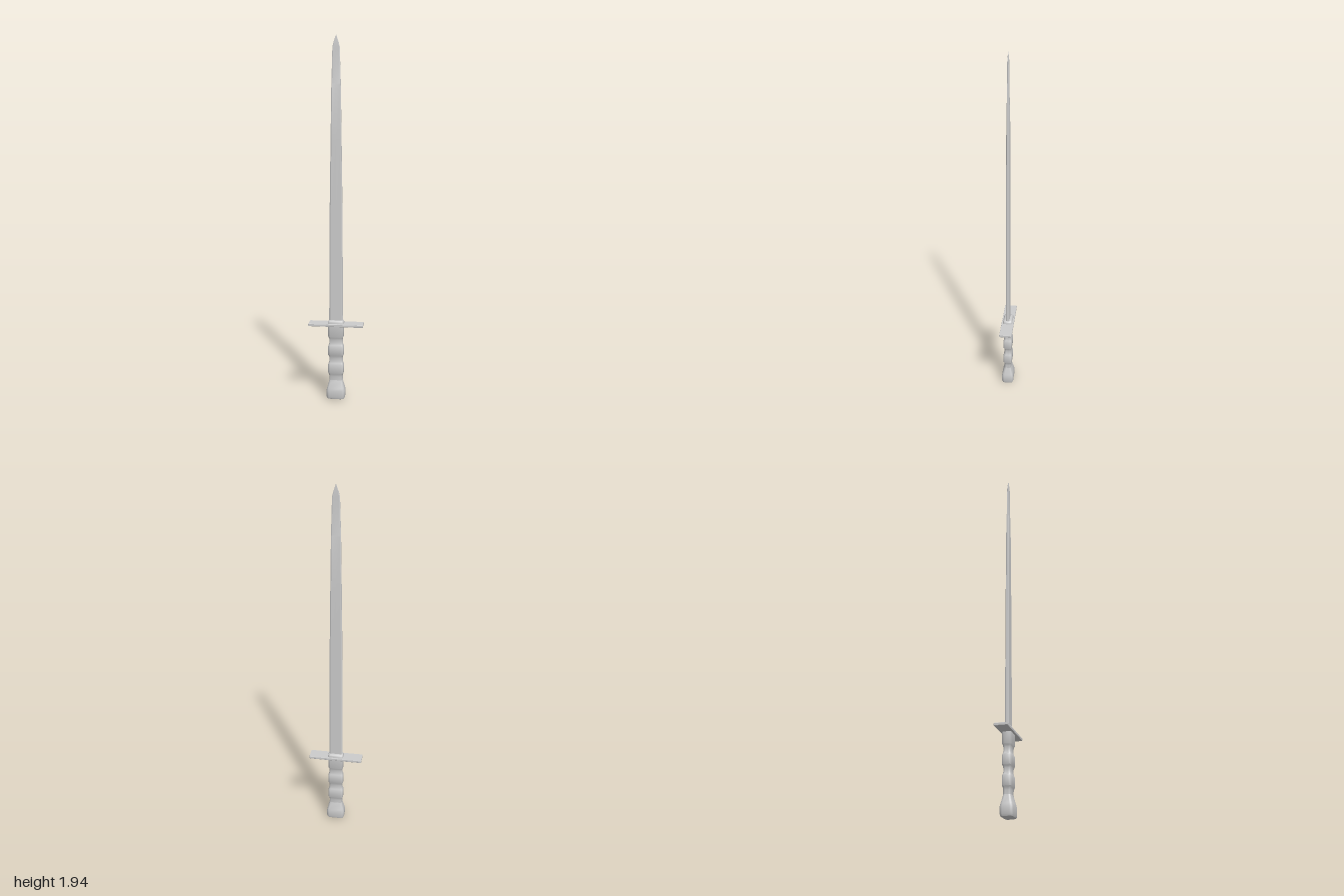
import * as THREE from 'three';
import { toCreasedNormals } from 'three/addons/utils/BufferGeometryUtils.js';

const material = new THREE.MeshStandardMaterial({ color: 0xcccccc });

// Rounded rectangle outline, from +x towards +z
function roundedRing(w, d, r, steps = 4) {
  const ring = [];
  [[1, 1], [-1, 1], [-1, -1], [1, -1]].forEach(([sx, sz], q) => {
    for (let i = 0; i <= steps; i++) {
      const a = (q + i / steps) * Math.PI / 2;
      ring.push([sx * (w - r) + r * Math.cos(a), sz * (d - r) + r * Math.sin(a)]);
    }
  });
  return ring;
}

// Blade outline: flat faces with chamfered edges
function bladeRing(w, d) {
  const f = w * 0.82, e = d * 0.55;
  return [[w, e], [f, d], [0, d], [-f, d], [-w, e], [-w, -e], [-f, -d], [0, -d], [f, -d], [w, -e]];
}

// Skin a stack of { y, ring } sections and cap both ends
function loft(name, sections, crease) {
  const n = sections[0].ring.length, pos = [], idx = [];
  for (const { y, ring } of sections) for (const [x, z] of ring) pos.push(x, y, z);
  for (let s = 0; s < sections.length - 1; s++) {
    for (let i = 0; i < n; i++) {
      const j = (i + 1) % n, a = s * n, b = a + n;
      idx.push(a + i, b + i, a + j, b + i, b + j, a + j);
    }
  }
  const c = sections.length * n, top = c - n;
  pos.push(0, sections[0].y, 0, 0, sections.at(-1).y, 0);
  for (let i = 0; i < n; i++) {
    const j = (i + 1) % n;
    idx.push(c, i, j, c + 1, top + j, top + i);
  }
  const geo = new THREE.BufferGeometry();
  geo.setAttribute('position', new THREE.Float32BufferAttribute(pos, 3));
  geo.setIndex(idx);
  const mesh = new THREE.Mesh(toCreasedNormals(geo, crease), material);
  mesh.name = name;
  return mesh;
}

const rounded = (rows) => rows.map(([y, w, d, r]) => ({ y, ring: roundedRing(w, d, r) }));

export function createModel() {
  const group = new THREE.Group();
  group.name = 'sword';

  // Flared pommel
  group.add(loft('pommel', rounded([
    [0.008, 0.038, 0.022, 0.012], [0.012, 0.046, 0.030, 0.014], [0.022, 0.050, 0.033, 0.015],
    [0.058, 0.050, 0.033, 0.015], [0.072, 0.047, 0.030, 0.014], [0.102, 0.039, 0.022, 0.012],
    [0.115, 0.036, 0.019, 0.011],
  ]), 0.7));

  // Grip with alternating waists and swellings
  const grip = [[0.11, 0.036, 0.019, 0.011], [0.135, 0.036, 0.019, 0.011]];
  for (const y of [0.155, 0.257]) {
    grip.push(
      [y - 0.006, 0.038, 0.021, 0.011], [y, 0.042, 0.024, 0.012], [y + 0.048, 0.042, 0.024, 0.012],
      [y + 0.056, 0.039, 0.021, 0.011], [y + 0.066, 0.036, 0.019, 0.011], [y + 0.086, 0.036, 0.019, 0.011],
    );
  }
  grip.push([0.353, 0.038, 0.021, 0.011], [0.36, 0.042, 0.024, 0.012], [0.422, 0.042, 0.024, 0.012]);
  group.add(loft('grip', rounded(grip), 0.7));

  // Thin flat crossguard with clipped corners
  const guard = (y, inset) => ({ y, ring: roundedRing(0.148 - inset, 0.034 - inset, 0.003, 1) });
  group.add(loft('crossguard', [guard(0.419, 0.001), guard(0.421, 0), guard(0.431, 0), guard(0.433, 0.001)], 0.4));

  // Collar holding the blade
  group.add(loft('collar', rounded([
    [0.43, 0.043, 0.026, 0.011], [0.439, 0.043, 0.026, 0.011],
    [0.447, 0.040, 0.022, 0.010], [0.45, 0.037, 0.018, 0.009],
  ]), 0.9));

  // Tapering blade, thinner towards the point
  const blade = [
    [0.44, 0.037, 0.010], [1.03, 0.034, 0.009], [1.4, 0.029, 0.008], [1.7, 0.0245, 0.007],
    [1.71, 0.0243, 0.005], [1.89, 0.019, 0.004], [1.915, 0.013, 0.003], [1.95, 0.0008, 0.0005],
  ];
  group.add(loft('blade', blade.map(([y, w, d]) => ({ y, ring: bladeRing(w, d) })), 0.3));

  return group;
}
